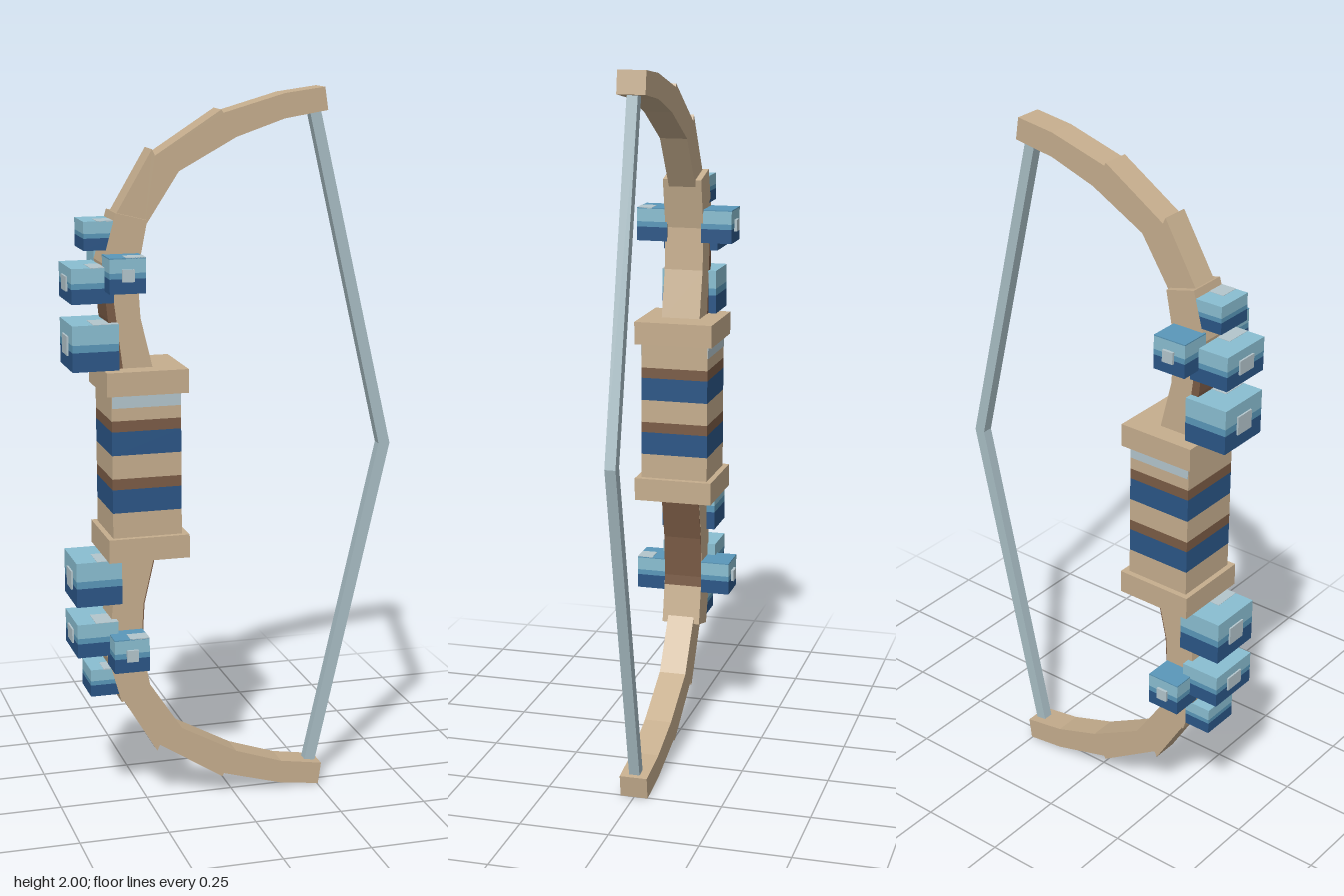
import * as THREE from 'three';

const mat = (name, color) => new THREE.MeshStandardMaterial({ name, color, flatShading: true });

export function createModel() {
  const model = new THREE.Group();
  model.name = 'bow';
  const tan = mat('tan wood', 0xc6ae8e);
  const brown = mat('brown wood', 0x7b5c46);
  const navy = mat('navy', 0x2b5687);
  const blue = mat('mid blue', 0x5a98ba);
  const sky = mat('light blue', 0x8abfd2);
  const grey = mat('pale grey blue', 0xb4c6cd);
  const cord = mat('string grey', 0xa9bec5);

  // box given by its min and max corners
  const box = (name, m, x0, x1, y0, y1, z0, z1, parent = model) => {
    const mesh = new THREE.Mesh(new THREE.BoxGeometry(x1 - x0, y1 - y0, z1 - z0), m);
    mesh.position.set((x0 + x1) / 2, (y0 + y1) / 2, (z0 + z1) / 2);
    mesh.name = name;
    parent.add(mesh);
  };
  // side outline extruded evenly about z = 0, optionally flipped about y = 1
  const plate = (name, m, pts, halfZ, flip = false) => {
    const shape = new THREE.Shape(pts.map(([x, y]) => new THREE.Vector2(x, flip ? 2 - y : y)));
    const geo = new THREE.ExtrudeGeometry(shape, { depth: halfZ * 2, bevelEnabled: false });
    geo.translate(0, 0, -halfZ);
    const mesh = new THREE.Mesh(geo, m);
    mesh.name = name;
    model.add(mesh);
  };

  // Grip, stacked in coloured bands
  const bands = [
    [tan, 0.8, 0.875], [navy, 0.875, 0.94], [brown, 0.94, 0.97], [tan, 0.97, 1.035],
    [navy, 1.035, 1.1], [brown, 1.1, 1.13], [tan, 1.13, 1.2],
  ];
  for (const [m, y0, y1] of bands) box('gripBand', m, -0.36, -0.168, y0, y1, -0.097, 0.097);
  for (const s of [-1, 1]) {
    box('gripTrim', grey, -0.359, -0.169, 1.165, 1.2, s * 0.097 - 0.002, s * 0.097 + 0.002);
  }
  box('upperGripCap', tan, -0.375, -0.15, 1.2, 1.265, -0.113, 0.113);
  box('lowerGripCap', tan, -0.375, -0.15, 0.74, 0.805, -0.113, 0.113);

  // Limbs: thick inner part and slimmer outer part
  const inner = [
    [-0.235, 1.26], [-0.268, 1.4], [-0.275, 1.52], [-0.247, 1.66],
    [-0.333, 1.682], [-0.37, 1.55], [-0.355, 1.4], [-0.33, 1.26],
  ];
  const outer = [
    [-0.25, 1.64], [-0.155, 1.785], [0.005, 1.872], [0.14, 1.918], [0.262, 1.938],
    [0.253, 2.0], [0.14, 1.985], [-0.032, 1.936], [-0.037, 1.945],
    [-0.22, 1.828], [-0.228, 1.845], [-0.335, 1.665],
  ];
  for (const flip of [false, true]) {
    plate('innerLimb', tan, inner, 0.056, flip);
    plate('outerLimb', tan, outer, 0.039, flip);
  }
  // Dark wood facings: lower inside, upper outside
  plate('lowerLimbFacing', brown, [
    [-0.232, 1.26], [-0.265, 1.4], [-0.272, 1.52], [-0.269, 1.55],
    [-0.276, 1.55], [-0.279, 1.52], [-0.272, 1.4], [-0.239, 1.26],
  ], 0.0555, true);
  plate('upperLimbFacing', brown, [
    [-0.333, 1.262], [-0.358, 1.4], [-0.371, 1.53], [-0.345, 1.48], [-0.335, 1.4], [-0.318, 1.262],
  ], 0.0575);

  // Bowstring, drawn back to a point
  plate('bowstring', cord, [
    [0.218, 1.935], [0.25, 1.935], [0.465, 1], [0.25, 0.065], [0.218, 0.065], [0.432, 1],
  ], 0.015);

  // Studs: navy base, thin blue layer, light top with a pale corner
  const stud = (name, x0, x1, y0, y1, z0, z1, top) => {
    const g = new THREE.Group();
    g.name = name;
    model.add(g);
    const h = y1 - y0, a = y0 + h * 0.42, b = y0 + h * 0.58;
    box('studBase', navy, x0, x1, y0, a, z0, z1, g);
    box('studMiddle', blue, x0, x1, a, b, z0, z1, g);
    box('studUpper', sky, x0, x1, b, y1 - 0.003, z0, z1, g);
    box('studTop', top, x0, x1, y1 - 0.003, y1, z0, z1, g);
    const xm = x0 + (x1 - x0) * 0.45, zm = z0 + (z1 - z0) * 0.5;
    if (z1 > 0) box('studCorner', grey, xm, x1, y1 - 0.002, y1 + 0.001, zm, z1, g);
  };
  // [name, x0, x1, height, half depth, upper bottom, lower bottom]
  const frontStuds = [
    ['largeStud', -0.46, -0.333, 0.125, 0.08, 1.265, 0.612],
    ['middleStud', -0.46, -0.345, 0.095, 0.08, 1.447, 0.467],
    ['smallStud', -0.42, -0.34, 0.077, 0.056, 1.585, 0.343],
  ];
  for (const [name, x0, x1, h, d, ...bottoms] of frontStuds) {
    for (const y of bottoms) {
      stud(name, x0, x1, y, y + h, -d, d, sky);
      if (name !== 'smallStud') {
        box('studInset', grey, x0 - 0.005, x0, y + h * 0.3, y + h * 0.72, -0.03, 0.03);
      }
    }
  }
  // Side studs with a small knob
  for (const y of [1.479, 0.433]) {
    for (const s of [-1, 1]) {
      const z = [s * 0.05, s * 0.139].sort((a, b) => a - b);
      stud('sideStud', -0.37, -0.272, y, y + 0.095, z[0], z[1], blue);
      const k = [s * 0.139, s * 0.147].sort((a, b) => a - b);
      box('sideKnob', grey, -0.337, -0.304, y + 0.032, y + 0.065, k[0], k[1]);
    }
  }
  return model;
}
